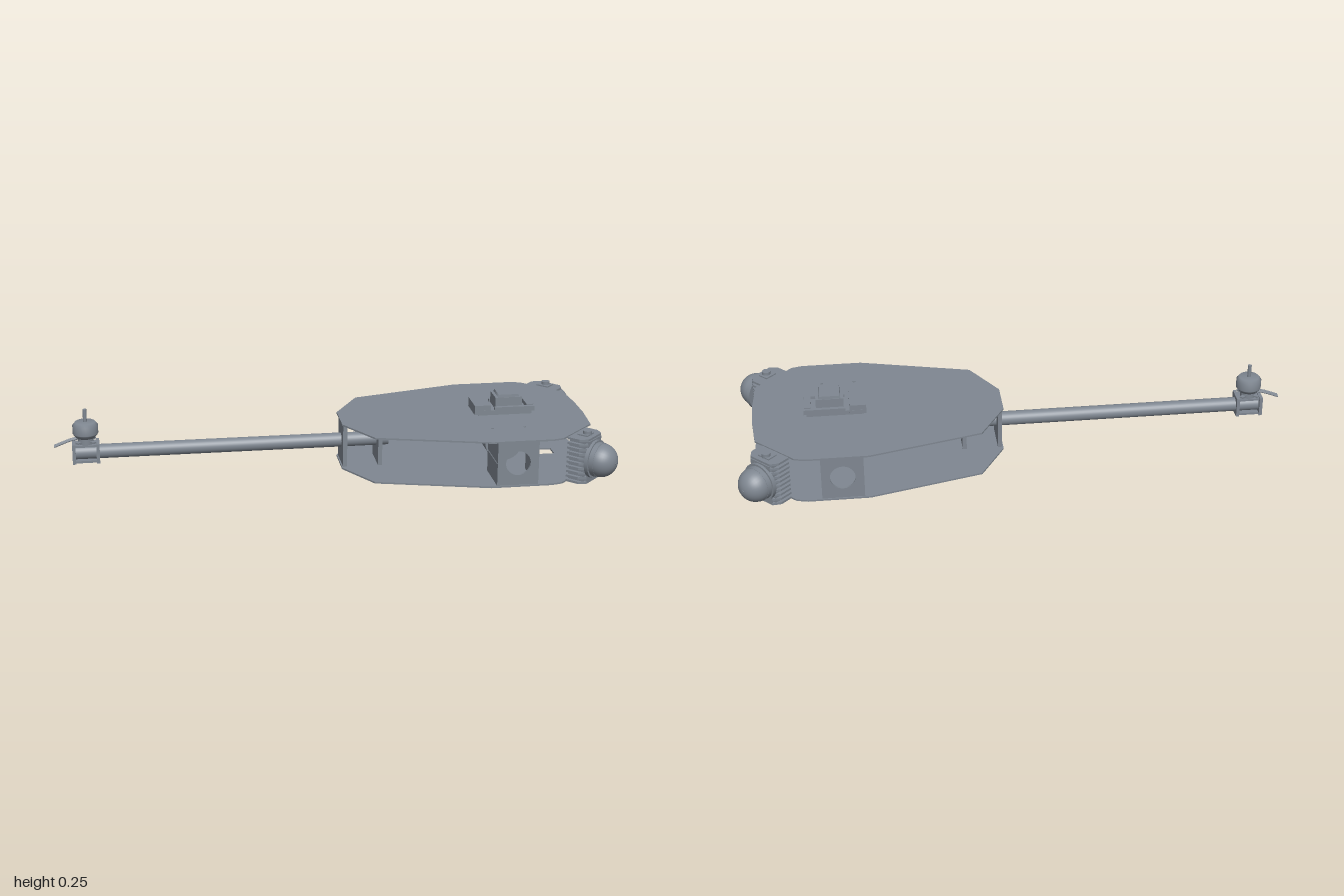
import * as THREE from 'three';

const grey = new THREE.MeshStandardMaterial({ color: 0x7f8791 });
grey.name = 'slate grey';

function add(parent, name, geo, x = 0, y = 0, z = 0) {
  const m = new THREE.Mesh(geo, grey);
  m.name = name;
  m.position.set(x, y, z);
  parent.add(m);
  return m;
}
const box = (w, h, d) => new THREE.BoxGeometry(w, h, d);
const cyl = (r, h, n = 32, r2 = r) => new THREE.CylinderGeometry(r2, r, h, n);

function rectHole(x0, y0, x1, y1) {
  const p = new THREE.Path();
  p.moveTo(x0, y0); p.lineTo(x0, y1); p.lineTo(x1, y1); p.lineTo(x1, y0); p.closePath();
  return p;
}
function circleHole(x, y, r) {
  return new THREE.Path().absarc(x, y, r, 0, Math.PI * 2, true);
}
const extrude = (shape, depth) =>
  new THREE.ExtrudeGeometry(shape, { depth, bevelEnabled: false, curveSegments: 24 });

// Flat body plate, outline mirrored across z
function plate(holes) {
  const half = [[0.04, 0.07], [0.135, 0.23], [0.54, 0.335], [0.76, 0.335], [0.8, 0.325], [0.935, 0.19], [0.945, 0.06]];
  const pts = [...half, ...half.map(([x, z]) => [x, -z]).reverse()];
  const s = new THREE.Shape(pts.map(([x, z]) => new THREE.Vector2(x, z)));
  s.holes.push(...holes);
  return extrude(s, 0.006).rotateX(Math.PI / 2);
}

// Finned sensor head facing +z, with a domed lens
function sensorHead() {
  const g = new THREE.Group();
  g.name = 'sensorHead';
  add(g, 'sensorCore', box(0.105, 0.155, 0.062), 0, 0, -0.004);
  // Cooling fins with chamfered front corners
  const fin = new THREE.Shape([
    [-0.066, -0.037], [0.066, -0.037], [0.066, 0.012], [0.046, 0.037], [-0.046, 0.037], [-0.066, 0.012],
  ].map(([x, z]) => new THREE.Vector2(x, z)));
  const finGeo = extrude(fin, 0.008).rotateX(Math.PI / 2);
  for (let i = 0; i < 10; i++) add(g, 'coolingFin', finGeo, 0, -0.076 + i * 0.0178, 0);
  add(g, 'frontPlate', box(0.09, 0.15, 0.006), 0, 0, 0.036);
  add(g, 'lensCollar', cyl(0.07, 0.014).rotateX(Math.PI / 2), 0, 0, 0.042);
  add(g, 'lensBarrel', cyl(0.063, 0.03).rotateX(Math.PI / 2), 0, 0, 0.052);
  add(g, 'dome', new THREE.SphereGeometry(0.062, 32, 12, 0, Math.PI * 2, 0, Math.PI / 2).rotateX(Math.PI / 2), 0, 0, 0.065);
  add(g, 'domeTip', cyl(0.005, 0.004, 12).rotateX(Math.PI / 2), 0, 0, 0.127);
  add(g, 'topKnob', cyl(0.016, 0.02, 20), 0, 0.09, 0.006);
  add(g, 'topBracket', box(0.05, 0.008, 0.04), 0, 0.085, 0);
  return g;
}

export function createModel() {
  const model = new THREE.Group();
  model.name = 'drone';

  // Body plates
  add(model, 'topPlate', plate([circleHole(0.57, 0.19, 0.005), circleHole(0.69, 0.19, 0.005)]), 0, 0.176, 0);
  add(model, 'bottomPlate', plate([rectHole(0.79, -0.03, 0.85, 0.03)]), 0, 0.008, 0);

  // Hollow tail boom
  const ro = 0.026, ri = 0.022;
  add(model, 'tailBoom', new THREE.LatheGeometry(
    [[ri, 0], [ro, 0], [ro, 1.15], [ri, 1.15], [ri, 0]].map(([x, y]) => new THREE.Vector2(x, y)).reverse(), 32,
  ).rotateZ(-Math.PI / 2), -0.93, 0.093, 0).material.side = THREE.DoubleSide;

  // Boom clamps between the plates
  const clamp = new THREE.Shape([[-0.062, 0.006], [0.062, 0.006], [0.062, 0.172], [-0.062, 0.172]]
    .map(([x, y]) => new THREE.Vector2(x, y)));
  clamp.holes.push(circleHole(0, 0.093, 0.0255));
  const clampGeo = extrude(clamp, 0.015).rotateY(Math.PI / 2);
  for (const x of [0.045, 0.175]) add(model, 'boomClamp', clampGeo, x, 0, 0);

  // Side motor bays and motors
  const wall = new THREE.Shape([[0.56, 0.006], [0.71, 0.006], [0.71, 0.172], [0.56, 0.172]]
    .map(([x, y]) => new THREE.Vector2(x, y)));
  wall.holes.push(circleHole(0.635, 0.09, 0.045));
  const wallGeo = extrude(wall, 0.008);
  for (const s of [1, -1]) {
    add(model, 'sideWall', wallGeo, 0, 0, s * 0.326 - 0.004);
    for (const x of [0.564, 0.706]) {
      for (const y of [0.047, 0.132]) add(model, 'bayWall', box(0.008, 0.081, 0.155), x, y, s * 0.25);
    }
    const motor = new THREE.Group();
    motor.name = 'wheelMotor';
    motor.position.set(0.635, 0.09, s * 0.068);
    model.add(motor);
    add(motor, 'motorCan', cyl(0.069, 0.084, 40).rotateX(Math.PI / 2));
    add(motor, 'motorRim', new THREE.TorusGeometry(0.042, 0.004, 8, 32), 0, 0, s * 0.042);
    add(motor, 'motorHub', cyl(0.013, 0.01, 24).rotateX(Math.PI / 2), 0, 0, s * 0.044);
    for (let i = 0; i < 3; i++) {
      add(motor, 'motorSpoke', box(0.08, 0.007, 0.008), 0, 0, s * 0.042).rotation.z = i * Math.PI / 3;
    }
  }
  add(model, 'motorConnector', box(0.012, 0.035, 0.022), 0.7, 0.06, -0.042);

  // Angled sensor heads at the nose corners
  for (const s of [1, -1]) {
    const head = sensorHead();
    head.position.set(0.89, 0.088, s * 0.287);
    head.rotation.y = s > 0 ? Math.PI / 4 : Math.PI * 3 / 4;
    model.add(head);
  }

  // Electronics unit on the top plate
  const unit = new THREE.Group();
  unit.name = 'electronicsUnit';
  model.add(unit);
  add(unit, 'unitBase', box(0.2, 0.012, 0.1), 0.65, 0.184, 0);
  add(unit, 'unitBoard', box(0.22, 0.008, 0.112), 0.65, 0.194, 0);
  for (const s of [1, -1]) add(unit, 'unitRail', box(0.15, 0.012, 0.014), 0.685, 0.203, s * 0.05);
  add(unit, 'rearConnector', box(0.06, 0.035, 0.11), 0.565, 0.2, 0);
  add(unit, 'frontConnector', box(0.025, 0.02, 0.09), 0.745, 0.203, 0);
  add(unit, 'unitHousing', box(0.1, 0.045, 0.084), 0.665, 0.219, 0);
  add(unit, 'unitCap', cyl(0.0566, 0.012, 4, 0.052).rotateY(Math.PI / 4), 0.665, 0.245, 0);

  // Tail mount: two end collars joined by top and bottom plates
  const mount = new THREE.Group();
  mount.name = 'tailMount';
  mount.position.set(-0.885, 0.093, 0);
  model.add(mount);
  const collar = new THREE.Shape([[-0.036, -0.035], [0.036, -0.035], [0.036, 0.038], [-0.036, 0.038]]
    .map(([x, y]) => new THREE.Vector2(x, y)));
  collar.holes.push(circleHole(0, 0, 0.025));
  const collarGeo = extrude(collar, 0.012).rotateY(Math.PI / 2);
  for (const x of [-0.05, 0.036]) add(mount, 'mountCollar', collarGeo, x, 0, 0);
  for (const y of [-0.029, 0.03]) add(mount, 'mountPlate', box(0.08, 0.008, 0.06), 0, y, 0);

  // Tail motor with shaft and wires
  add(model, 'motorFoot', cyl(0.028, 0.022, 24), -0.885, 0.138, 0);
  for (let i = 0; i < 4; i++) {
    const a = i * Math.PI / 2 + Math.PI / 4;
    const arm = add(model, 'footArm', box(0.09, 0.006, 0.014), -0.885, 0.136, 0);
    arm.rotation.y = a;
  }
  const profile = [[0, 0], [0.034, 0], [0.044, 0.012], [0.046, 0.016], [0.046, 0.046], [0.036, 0.058], [0, 0.058]];
  add(model, 'tailMotor', new THREE.LatheGeometry(profile.map(([x, y]) => new THREE.Vector2(x, y)), 32), -0.885, 0.15, 0);
  add(model, 'motorShaft', cyl(0.007, 0.05, 16), -0.885, 0.23, 0);
  for (const z of [-0.008, 0, 0.008]) {
    const path = new THREE.CatmullRomCurve3([
      new THREE.Vector3(-0.9, 0.15, z), new THREE.Vector3(-0.94, 0.141, z), new THREE.Vector3(-0.999, 0.119, z),
    ]);
    add(model, 'motorWire', new THREE.TubeGeometry(path, 8, 0.0035, 8));
  }
  return model;
}
